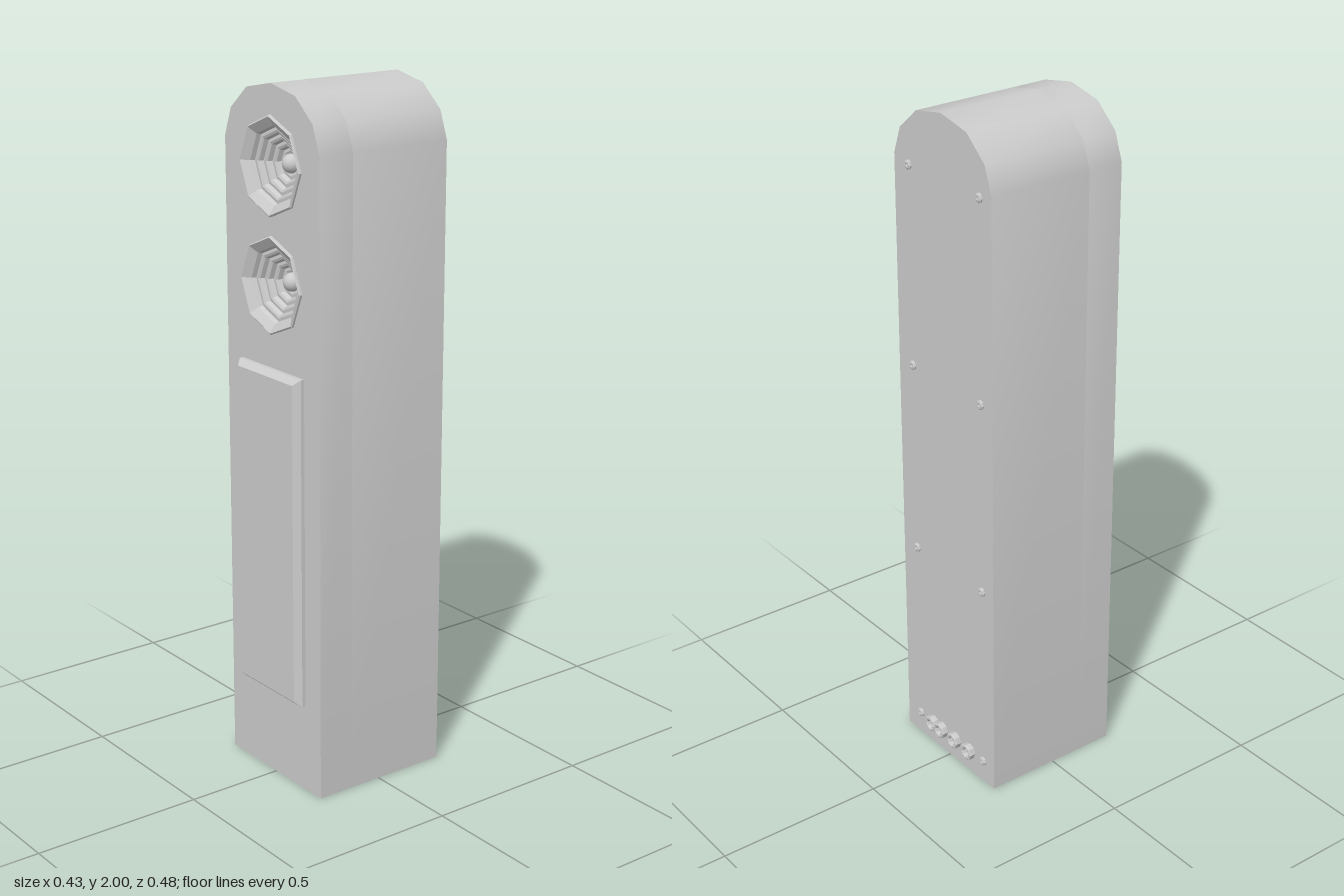
import * as THREE from 'three';
import { toCreasedNormals } from 'three/addons/utils/BufferGeometryUtils.js';

const FRONT = 0.209, BACK = -0.219, SPLIT = 0.1;
const DRIVER_Y = [1.78, 1.455];

const grey = new THREE.MeshStandardMaterial({ color: 0xcccccc });
const flatGrey = new THREE.MeshStandardMaterial({ color: 0xcccccc, flatShading: true });

function add(parent, name, geometry, material, x = 0, y = 0, z = 0) {
  const mesh = new THREE.Mesh(geometry, material);
  mesh.name = name;
  mesh.position.set(x, y, z);
  parent.add(mesh);
  return mesh;
}

// Lathe of [radius, height] pairs whose axis points along +z (dir 1) or -z (dir -1)
function latheZ(profile, sides, dir = 1) {
  const points = profile.map(([r, h]) => new THREE.Vector2(r, h));
  return new THREE.LatheGeometry(points, sides).rotateX(dir * Math.PI / 2);
}

// Cabinet outline: straight sides with a faceted arch on top
function cabinetShape() {
  const arch = [[0.214, 1.835], [0.185, 1.914], [0.11, 1.978]];
  const points = [[-0.214, 0], [0.214, 0], ...arch, [0, 2],
    ...arch.map(([x, y]) => [-x, y]).reverse()];
  return new THREE.Shape(points.map(([x, y]) => new THREE.Vector2(x, y)));
}

function slab(shape, z0, z1) {
  const geometry = new THREE.ExtrudeGeometry(shape, { depth: z1 - z0, bevelEnabled: false });
  return toCreasedNormals(geometry.translate(0, 0, z0), 0.7);
}

function createCabinet() {
  const cabinet = new THREE.Group();
  cabinet.name = 'cabinet';
  const baffle = cabinetShape();
  for (const cy of DRIVER_Y) {
    const hole = [];
    for (let i = 0; i < 8; i++) {
      const a = -i * Math.PI / 4;
      hole.push(new THREE.Vector2(0.128 * Math.cos(a), cy + 0.128 * Math.sin(a)));
    }
    baffle.holes.push(new THREE.Path(hole));
  }
  add(cabinet, 'frontBaffle', slab(baffle, SPLIT, FRONT), grey);
  add(cabinet, 'cabinetBody', slab(cabinetShape(), BACK, SPLIT), grey);
  return cabinet;
}

// Octagonal driver: raised rim, ribbed cone sinking inward, domed centre cap
function createDriver(y) {
  const driver = new THREE.Group();
  driver.name = 'driver';
  driver.position.set(0, y, FRONT);
  const profile = [[0.137, -0.002], [0.137, 0.006], [0.133, 0.009], [0.108, -0.008]];
  const ribs = 4;
  for (let i = 0; i < ribs; i++) {
    const r = 0.108 - i * 0.02, z = -0.008 - i * 0.015;
    profile.push([r - 0.004, z - 0.013], [r - 0.013, z - 0.012], [r - 0.02, z - 0.015]);
  }
  profile.push([0, -0.07]);
  add(driver, 'cone', latheZ(profile, 8), flatGrey);
  const cap = new THREE.SphereGeometry(0.027, 16, 6, 0, Math.PI * 2, 0, Math.PI / 2);
  add(driver, 'dustCap', cap.rotateX(Math.PI / 2), grey, 0, 0, -0.068);
  return driver;
}

// Long front panel with a chamfered edge
function createPanel() {
  const w = 0.127, y0 = 0.276, y1 = 1.207;
  const shape = new THREE.Shape([[-w, y0], [w, y0], [w, y1], [-w, y1]]
    .map(([x, y]) => new THREE.Vector2(x, y)));
  const geometry = new THREE.ExtrudeGeometry(shape, {
    depth: 0.012, bevelEnabled: true, bevelSegments: 1, bevelSize: 0.016, bevelThickness: 0.018,
  });
  const panel = new THREE.Mesh(geometry, flatGrey);
  panel.name = 'frontPanel';
  panel.position.z = 0.208;
  return panel;
}

// Fixing screws and a row of ring sockets on the back
function createBack() {
  const back = new THREE.Group();
  back.name = 'backFittings';
  const screw = latheZ([[0.014, -0.002], [0.014, 0.004], [0.009, 0.007],
    [0.005, 0.007], [0.004, 0.004], [0, 0.004]], 8, -1);
  for (const y of [0.07, 0.65, 1.235, 1.82]) {
    for (const x of [-0.163, 0.148]) add(back, 'screw', screw, flatGrey, x, y, BACK);
  }
  const socket = latheZ([[0.025, -0.002], [0.025, 0.016], [0.022, 0.019], [0.017, 0.019],
    [0.014, 0.016], [0.014, 0.003], [0.006, 0.003], [0.006, 0.01], [0, 0.01]], 8, -1);
  for (const x of [-0.098, -0.028, 0.038, 0.081]) {
    add(back, 'socket', socket, flatGrey, x, 0.07, BACK);
  }
  return back;
}

export function createModel() {
  const model = new THREE.Group();
  model.name = 'floorSpeaker';
  model.add(createCabinet(), createPanel(), createBack());
  for (const y of DRIVER_Y) model.add(createDriver(y));
  return model;
}
